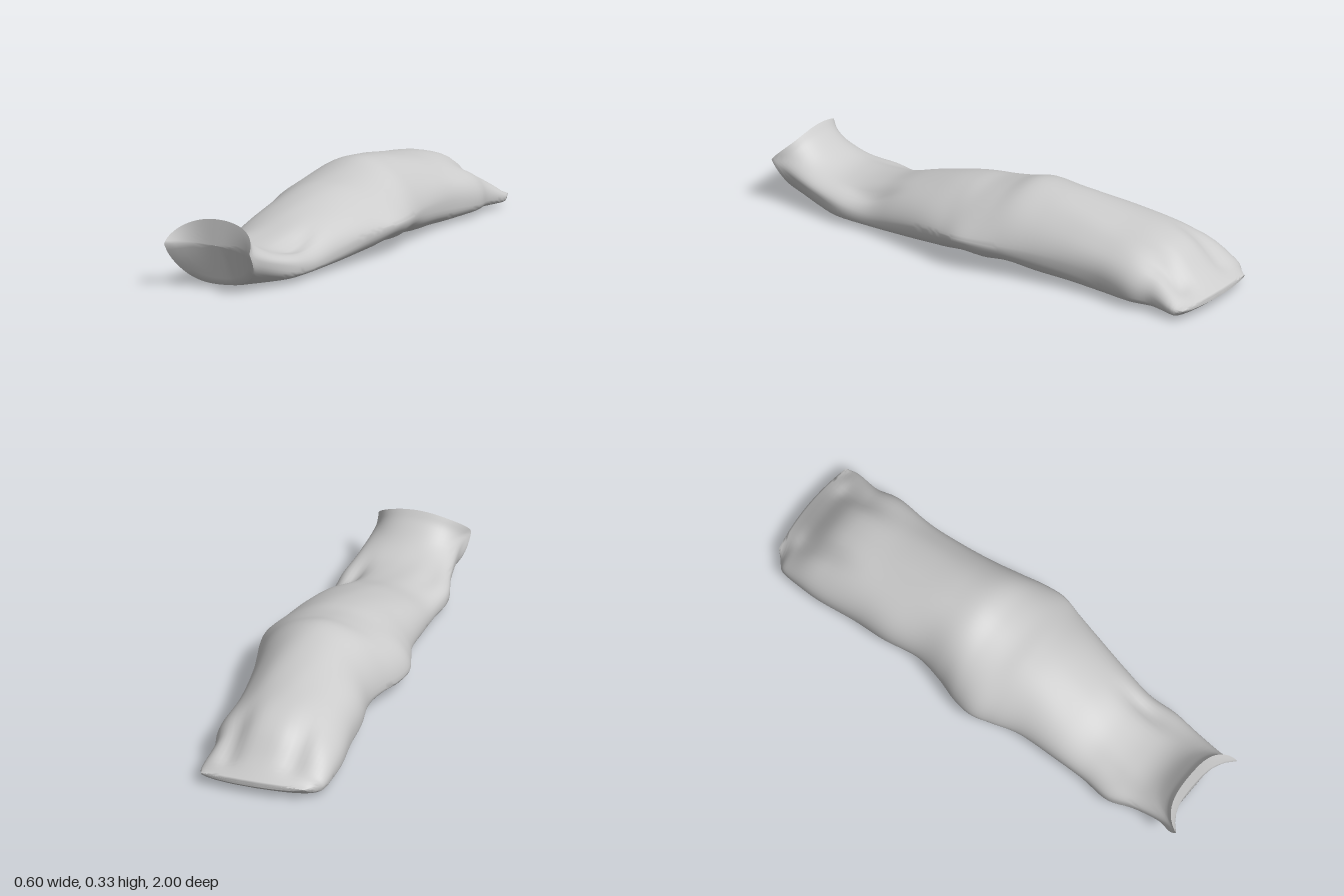
import * as THREE from 'three';
import { toCreasedNormals } from 'three/addons/utils/BufferGeometryUtils.js';

// Cross-sections, front to back: z, min x, max x, bottom y, top y, height of widest point
const SECTIONS = [
  [0.90, -0.215, 0.168, 0.020, 0.283, 0.18],
  [0.86, -0.198, 0.165, 0.014, 0.240, 0.14],
  [0.77, -0.208, 0.185, 0.012, 0.165, 0.10],
  [0.67, -0.238, 0.205, 0.012, 0.148, 0.07],
  [0.54, -0.225, 0.205, 0.012, 0.165, 0.055],
  [0.40, -0.230, 0.225, 0.012, 0.212, 0.075],
  [0.24, -0.240, 0.255, 0.014, 0.255, 0.095],
  [0.13, -0.272, 0.278, 0.018, 0.275, 0.10],
  [0.04, -0.298, 0.298, 0.032, 0.284, 0.105],
  [-0.05, -0.288, 0.290, 0.021, 0.304, 0.105],
  [-0.15, -0.258, 0.268, 0.032, 0.332, 0.105],
  [-0.27, -0.240, 0.242, 0.015, 0.322, 0.11],
  [-0.42, -0.264, 0.222, 0.010, 0.298, 0.11],
  [-0.56, -0.270, 0.215, 0.004, 0.275, 0.10],
  [-0.72, -0.288, 0.230, 0.010, 0.248, 0.08],
  [-0.82, -0.288, 0.211, 0.010, 0.208, 0.07],
  [-0.91, -0.278, 0.222, 0.012, 0.128, 0.05],
  [-0.96, -0.250, 0.222, 0.015, 0.088, 0.045],
  [-1.00, -0.215, 0.210, 0.042, 0.058, 0.05],
];
const SIDES = 56, SLICES = 100, CAP = 6;

// Smoothly interpolated section values
const pick = (a, b, c) => new THREE.CatmullRomCurve3(
  SECTIONS.map(s => new THREE.Vector3(s[a], s[b], s[c])), false, 'catmullrom', 0.5);
const plan = pick(0, 1, 2), side = pick(3, 4, 5);

const spow = (v, p) => Math.sign(v) * Math.abs(v) ** p;
const bump = (v, c, w) => Math.exp(-(((v - c) / w) ** 2));

// Cloth folds in the upper surface: z, x, length, width, depth
const FOLDS = [
  [-0.85, 0.12, 0.13, 0.045, -0.040],
  [-0.85, -0.15, 0.13, 0.045, -0.028],
  [-0.55, 0.17, 0.18, 0.050, -0.015],
  [0.58, 0.13, 0.11, 0.030, -0.032],
  [0.66, -0.16, 0.10, 0.040, -0.012],
];

// One closed ring: rounded back above the widest line, flatter belly below it
function ring(t, scale) {
  const p = plan.getPoint(t), q = side.getPoint(t), z = p.x, pts = [];
  const cx = (p.y + p.z) / 2, hw = (p.z - p.y) / 2;
  const front = THREE.MathUtils.smoothstep(z, 0.68, 0.9);
  const tail = THREE.MathUtils.smoothstep(-z, 0.9, 1);
  const middle = bump(z, 0, 0.33), neck = bump(z, 0.68, 0.12);
  for (let j = 0; j < SIDES; j++) {
    const a = (j / SIDES) * Math.PI * 2, c = Math.cos(a), s = Math.sin(a), up = s >= 0;
    // Pinched flanks in the middle, flatter top at the neck, squarer belly at both ends
    const belly = 0.5 + 0.3 * front + 0.4 * middle;
    const ex = up ? 1 : belly;
    const ey = up ? 1 + middle * (0.35 + 0.2 * c) - 0.2 * neck : belly;
    const mid = q.z + 0.03 * middle * c;
    const x = cx + hw * scale * spow(c, ex);
    let y = mid + scale * spow(s, ey) * (up ? q.y - mid : mid - q.x);
    if (up) {
      const open = (1 - front) * (1 - tail);
      let fold = 0.006 * Math.sin(14 * z + 14 * x) * open * Math.abs(c);
      for (const [fz, fx, fl, fw, fd] of FOLDS)
        fold += fd * bump(z, fz, fl) * bump(x, fx, fw) * (1 - tail);
      y += s * scale * fold;
    }
    // Front face bulges at mid height with its corners drawn forward; tail is gently rounded
    const level = Math.max(0, 1 - Math.abs(y - 0.18) / 0.16);
    const nose = level * (0.025 + 0.07 * Math.abs((x + 0.024) / 0.19) ** 3) + 0.03 * y;
    pts.push(x, y, z + front * nose + tail * 0.5 * x * x);
  }
  return pts;
}

function bodyGeometry() {
  const rings = [];
  for (let i = 0; i < CAP; i++) rings.push(ring(0, Math.max(0.01, i / CAP)));
  for (let i = 0; i <= SLICES; i++) rings.push(ring(i / SLICES, 1));
  for (let i = CAP - 1; i >= 0; i--) rings.push(ring(1, Math.max(0.01, i / CAP)));
  const index = [];
  for (let i = 0; i < rings.length - 1; i++) {
    for (let j = 0; j < SIDES; j++) {
      const a = i * SIDES + j, b = i * SIDES + (j + 1) % SIDES;
      index.push(a, a + SIDES, b, b, a + SIDES, b + SIDES);
    }
  }
  const geo = new THREE.BufferGeometry();
  geo.setAttribute('position', new THREE.Float32BufferAttribute(rings.flat(), 3));
  geo.setIndex(index);
  return toCreasedNormals(geo, 1.3);
}

export function createModel() {
  const group = new THREE.Group();
  const body = new THREE.Mesh(bodyGeometry(), new THREE.MeshStandardMaterial({ color: 0xcccccc }));
  body.name = 'saggingBody';
  group.add(body);
  // Settle on the ground and centre along the length
  const box = new THREE.Box3().setFromObject(body), c = box.getCenter(new THREE.Vector3());
  body.position.set(-c.x, -box.min.y, -c.z);
  return group;
}
